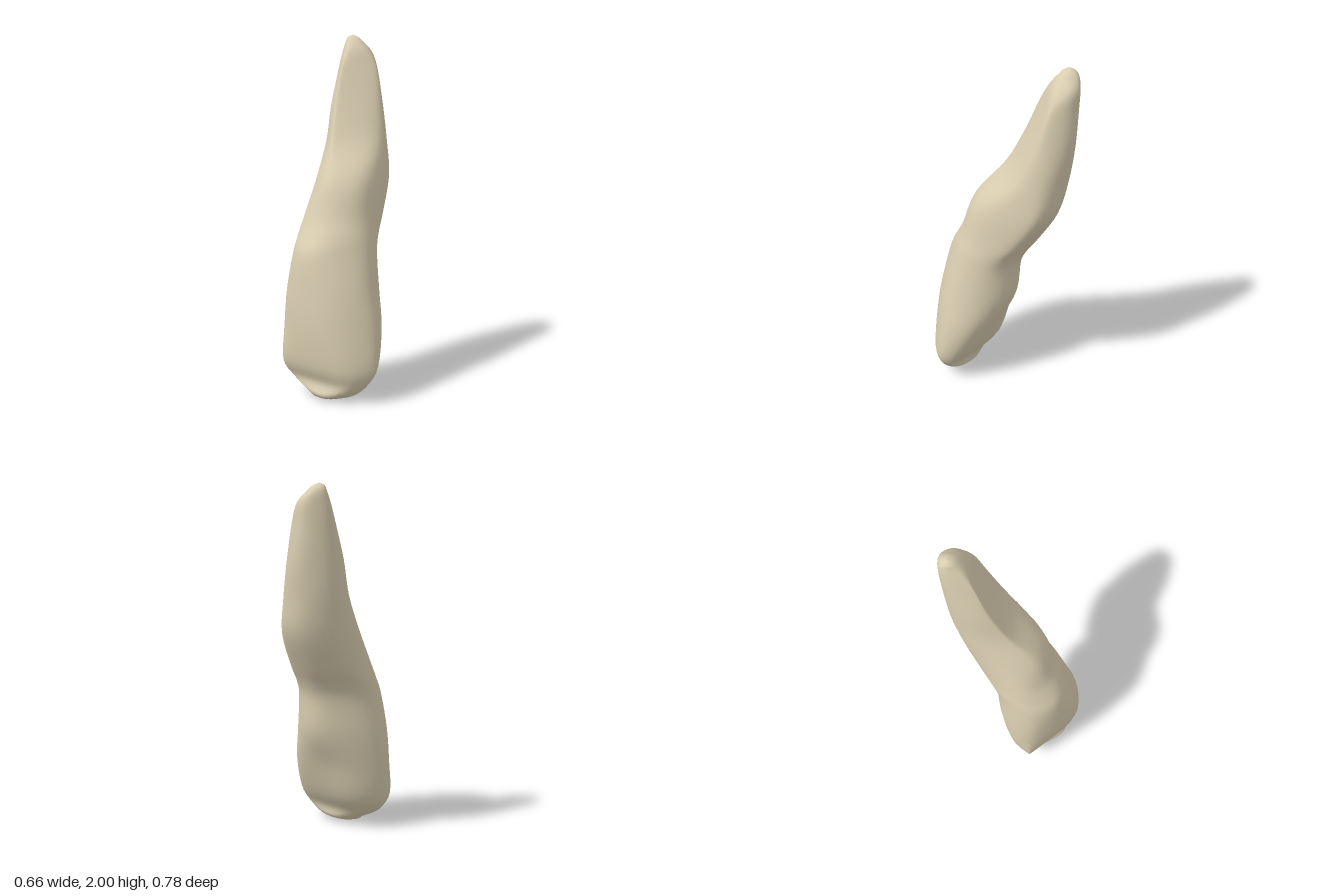
import * as THREE from 'three';

// Eight directions around the section, turning from +x through +z
const ANGLES = [0, 37, 90, 143, 180, 217, 270, 323].map(THREE.MathUtils.degToRad);
const STEPS = 4; // rings per level
const ARC = 5; // points per side of a section

// A level shrunk to one point, closing an end
const tip = (x, y, z) => [y, ...ANGLES.map((a) => x * Math.cos(a) + z * Math.sin(a))];

// Each level: height, then how far the section reaches in the eight directions
const LEVELS = [
  tip(-0.1, 0, 0.22),
  [0.012, -0.02, 0.13, 0.275, 0.26, 0.17, 0.02, -0.165, -0.155],
  [0.04, 0.05, 0.213, 0.325, 0.29, 0.2, 0.06, -0.12, -0.1],
  [0.1, 0.11, 0.28, 0.365, 0.27, 0.27, 0.17, -0.05, -0.09],
  [0.2, 0.165, 0.33, 0.39, 0.31, 0.33, 0.22, 0.03, -0.02],
  [0.4, 0.203, 0.32, 0.37, 0.33, 0.32, 0.24, 0.075, 0.08],
  [0.6, 0.207, 0.28, 0.335, 0.325, 0.305, 0.23, 0.11, 0.15],
  [0.8, 0.205, 0.245, 0.28, 0.305, 0.27, 0.205, 0.125, 0.165],
  [0.9, 0.225, 0.23, 0.25, 0.255, 0.235, 0.195, 0.16, 0.2],
  [1.0, 0.265, 0.215, 0.21, 0.2, 0.195, 0.18, 0.225, 0.26],
  [1.2, 0.325, 0.2, 0.14, 0.13, 0.115, 0.17, 0.31, 0.37],
  [1.4, 0.32, 0.17, -0.03, 0.0, 0.04, 0.165, 0.355, 0.4],
  [1.6, 0.305, 0.13, -0.125, -0.09, 0.0, 0.16, 0.375, 0.42],
  [1.8, 0.28, 0.085, -0.2, -0.17, -0.055, 0.15, 0.385, 0.415],
  [1.9, 0.26, 0.035, -0.235, -0.225, -0.085, 0.14, 0.388, 0.41],
  [1.96, 0.21, -0.017, -0.275, -0.268, -0.108, 0.128, 0.384, 0.38],
  [1.988, 0.18, -0.051, -0.305, -0.291, -0.12, 0.111, 0.365, 0.351],
  tip(0.149, 2, -0.337),
];

// Smooth blend of the levels at a fractional index
function levelAt(t) {
  const last = LEVELS.length - 1;
  const i = Math.min(Math.floor(t), last - 1), f = t - i;
  const at = (n) => LEVELS[Math.max(0, Math.min(last, n))];
  return LEVELS[i].map((b, k) => {
    const a = at(i - 1)[k], c = at(i + 1)[k], d = at(i + 2)[k];
    return b + 0.5 * f * (c - a + f * (2 * a - 5 * b + 4 * c - d + f * (3 * (b - c) + d - a)));
  });
}

// Rounded section that touches all eight limits
function section([y, ...reach]) {
  const corners = reach.map((h, i) => {
    const j = (i + 1) % 8, a = ANGLES[i], turn = ANGLES[j] - a;
    const side = (reach[j] - h * Math.cos(turn)) / Math.sin(turn);
    return new THREE.Vector2(h * Math.cos(a) - side * Math.sin(a), h * Math.sin(a) + side * Math.cos(a));
  });
  const middle = (reach[7] - reach[3]) / 2;
  const ring = [];
  const cos = Math.cos(ANGLES[1]), sin = Math.sin(ANGLES[1]);
  for (let i = 0; i < 8; i++) {
    const p = corners[(i + 7) % 8], q = corners[i], r = corners[(i + 1) % 8];
    const start = p.clone().lerp(q, 0.5), end = q.clone().lerp(r, 0.5);
    const arc = new THREE.QuadraticBezierCurve(start, q, end);
    for (let k = 0; k < ARC; k++) {
      const { x, y: z } = arc.getPoint(k / ARC);
      // Shallow hollow in the inner face of the crown
      const across = x * cos + z * sin, depth = x * cos - z * sin;
      const dent = 0.025 * Math.exp(-(((y - 0.4) / 0.14) ** 2) - ((across - 0.04) / 0.12) ** 2)
        * THREE.MathUtils.smoothstep(depth, middle, middle + 0.12);
      ring.push(x - dent * cos, y, z + dent * sin);
    }
  }
  return ring;
}

function toothGeometry() {
  const positions = [], index = [];
  const n = 8 * ARC, rows = (LEVELS.length - 1) * STEPS;
  for (let r = 0; r <= rows; r++) positions.push(...section(levelAt(r / STEPS)));
  for (let r = 0; r < rows; r++) {
    for (let i = 0; i < n; i++) {
      const a = r * n + i, b = r * n + ((i + 1) % n);
      // One triangle per side where a ring is a single point
      if (r < rows - 1) index.push(a, a + n, b + n);
      if (r > 0) index.push(a, b + n, b);
    }
  }
  const geometry = new THREE.BufferGeometry();
  geometry.setAttribute('position', new THREE.Float32BufferAttribute(positions, 3));
  geometry.setIndex(index);
  geometry.computeVertexNormals();
  return geometry;
}

export function createModel() {
  const group = new THREE.Group();
  group.name = 'incisor';
  const ivory = new THREE.MeshStandardMaterial({ color: 0xd9cdb0 });
  ivory.name = 'ivory';
  const tooth = new THREE.Mesh(toothGeometry(), ivory);
  tooth.name = 'tooth';
  group.add(tooth);
  return group;
}
